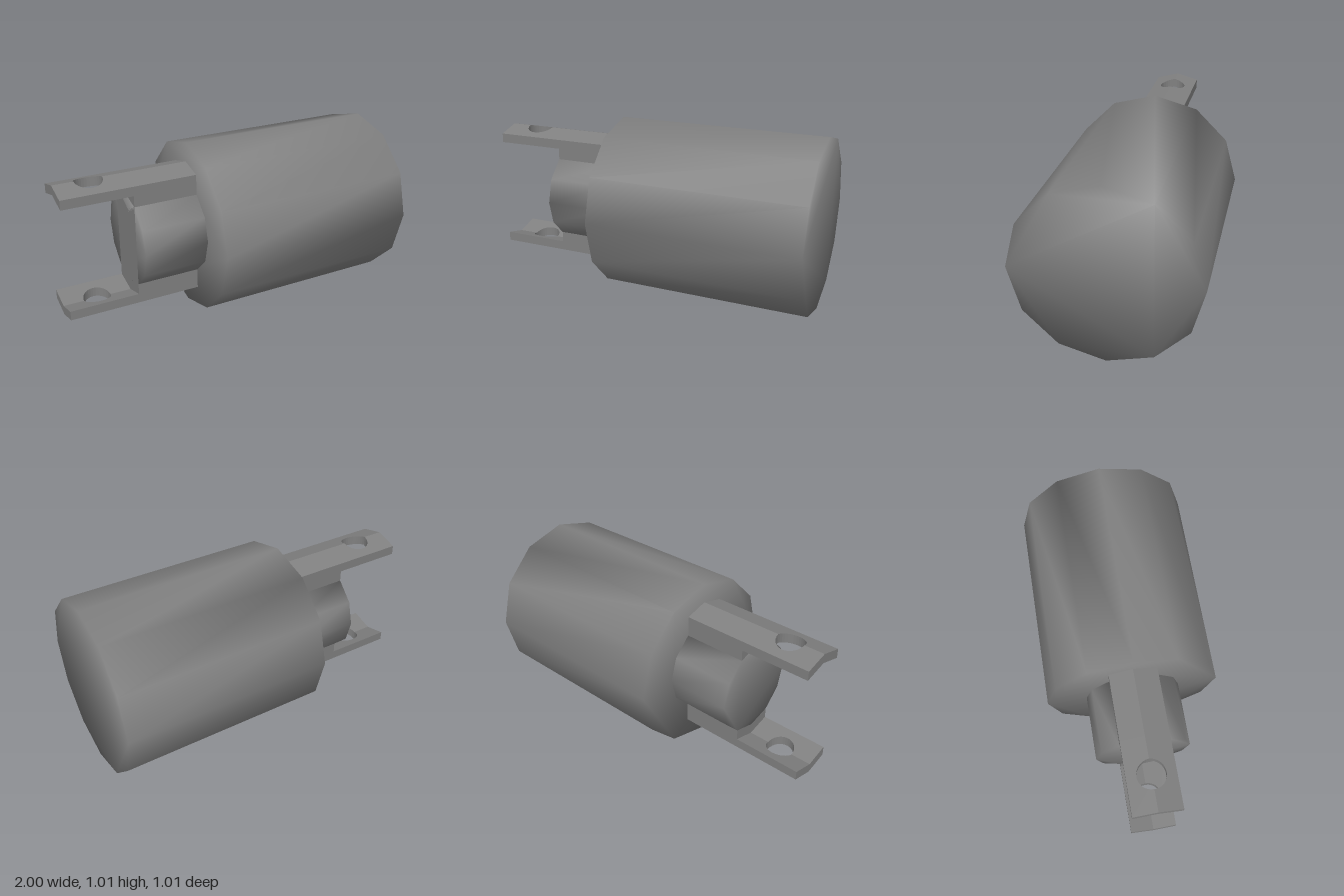
import * as THREE from 'three';
import { mergeVertices } from 'three/addons/utils/BufferGeometryUtils.js';

const AXIS_Y = 0.507;            // height of the long axis
const PRONG_R = 0.395;           // outer radius of the prongs
const PRONG_T = 0.055;           // prong thickness
const PRONG_W = 0.136;           // half width of a prong
const SLOPE = Math.tan(Math.PI / 12);

// Twelve-sided outline with a corner at the top
function dodecagon(radius) {
  const points = [];
  for (let i = 0; i < 12; i++) {
    const a = (i / 12) * Math.PI * 2;
    points.push(new THREE.Vector2(Math.cos(a) * radius, Math.sin(a) * radius));
  }
  return new THREE.Shape(points);
}

// Extrude a z-y outline along x
function alongX(shape, x0, x1) {
  const g = new THREE.ExtrudeGeometry(shape, { depth: x1 - x0, bevelEnabled: false });
  return g.rotateY(Math.PI / 2).translate(x0, 0, 0);
}

// Share corners so that shading runs smoothly over every edge
function smooth(geometry) {
  geometry.deleteAttribute('normal');
  geometry.deleteAttribute('uv');
  const g = mergeVertices(geometry, 1e-4);
  g.computeVertexNormals();
  return g;
}

// One sloping half of a prong, with half of the pin hole in its inner edge
function halfProng() {
  const s = new THREE.Shape();
  s.moveTo(-1, 0);
  s.lineTo(-0.88, 0);
  s.absarc(-0.8, 0, 0.08, Math.PI, 0, true);
  s.lineTo(-0.595, 0);
  s.lineTo(-0.595, PRONG_W);
  s.lineTo(-1, PRONG_W);
  s.closePath();
  const g = new THREE.ExtrudeGeometry(s, { depth: PRONG_T, bevelEnabled: false, curveSegments: 8 });
  g.rotateX(-Math.PI / 2);
  const p = g.attributes.position;
  for (let i = 0; i < p.count; i++) {
    p.setY(i, p.getY(i) + PRONG_R - PRONG_T - Math.abs(p.getZ(i)) * SLOPE);
  }
  g.computeVertexNormals();
  return g;
}

export function createModel() {
  const metal = new THREE.MeshStandardMaterial({ color: 0x808080 });
  metal.name = 'grey metal';

  const model = new THREE.Group();
  model.name = 'clevisFitting';
  const add = (name, geometry, parent = model) => {
    const mesh = new THREE.Mesh(geometry, metal);
    mesh.name = name;
    parent.add(mesh);
    return mesh;
  };

  // Main barrel and the narrower neck
  add('body', smooth(alongX(dodecagon(0.507), -0.22, 1)));
  add('neck', smooth(alongX(dodecagon(0.275), -0.595, -0.22)));

  // Solid root that joins the prongs to the neck
  const edge = PRONG_R - PRONG_W * SLOPE;
  const root = new THREE.Shape([
    [0, PRONG_R], [-PRONG_W, edge], [-PRONG_W, -edge],
    [0, -PRONG_R], [PRONG_W, -edge], [PRONG_W, edge],
  ].map(([z, y]) => new THREE.Vector2(z, y)));
  add('prongRoot', alongX(root, -0.595, -0.22));

  // Two ridged prongs, each from two mirrored halves
  const half = halfProng();
  for (const [name, up] of [['upperProng', 1], ['lowerProng', -1]]) {
    const prong = new THREE.Group();
    prong.name = name;
    for (const side of [1, -1]) {
      add(side > 0 ? 'backHalf' : 'frontHalf', half, prong).scale.set(1, up, side);
    }
    model.add(prong);
  }

  // Stand the lowest corner on the ground
  for (const part of model.children) part.position.y = AXIS_Y;
  return model;
}
